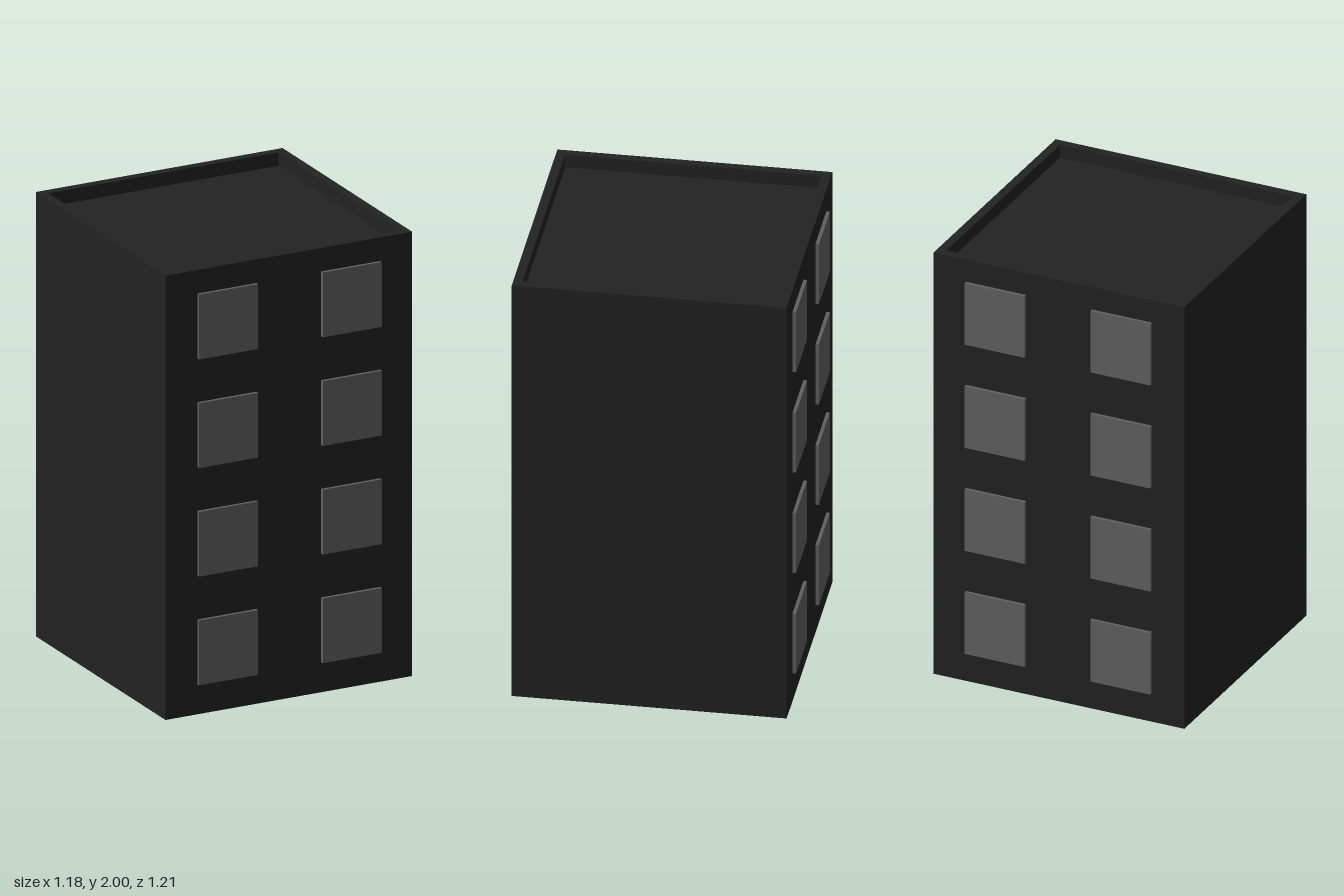
import * as THREE from 'three';

const HALF = 0.59, INNER = 0.55, HEIGHT = 2, ROOF = 1.94;

export function createModel() {
  const group = new THREE.Group();
  group.name = 'towerBlock';

  const wallColor = new THREE.MeshStandardMaterial({
    color: 0x222222, side: THREE.DoubleSide, flatShading: true });
  wallColor.name = 'charcoal';
  const windowColor = new THREE.MeshStandardMaterial({ color: 0x606060 });
  windowColor.name = 'windowGrey';

  // Square shell swept from a profile of [half width, height] points
  function squareShell(name, profile) {
    const points = profile.map(([h, y]) => new THREE.Vector2(h * Math.SQRT2, y));
    const mesh = new THREE.Mesh(new THREE.LatheGeometry(points, 4, Math.PI / 4), wallColor);
    mesh.name = name;
    group.add(mesh);
  }

  // Thin outer walls, open underneath
  squareShell('walls', [[HALF, 0], [HALF, HEIGHT]]);
  // Raised rim around the sunken roof
  squareShell('parapet', [[HALF, HEIGHT], [INNER, HEIGHT], [INNER, ROOF]]);
  squareShell('roof', [[INNER, ROOF], [0, ROOF]]);

  // Windows set through the front and back walls, two per storey
  const pane = new THREE.BoxGeometry(0.282, 0.292, 0.03);
  for (const [side, z] of [['front', HALF], ['back', -HALF]]) {
    const windows = new THREE.Group();
    windows.name = side + 'Windows';
    for (let floor = 0; floor < 4; floor++) {
      for (const x of [-0.296, 0.296]) {
        const mesh = new THREE.Mesh(pane, windowColor);
        mesh.name = 'window';
        mesh.position.set(x, 0.281 + floor * 0.489, z);
        windows.add(mesh);
      }
    }
    group.add(windows);
  }
  return group;
}
